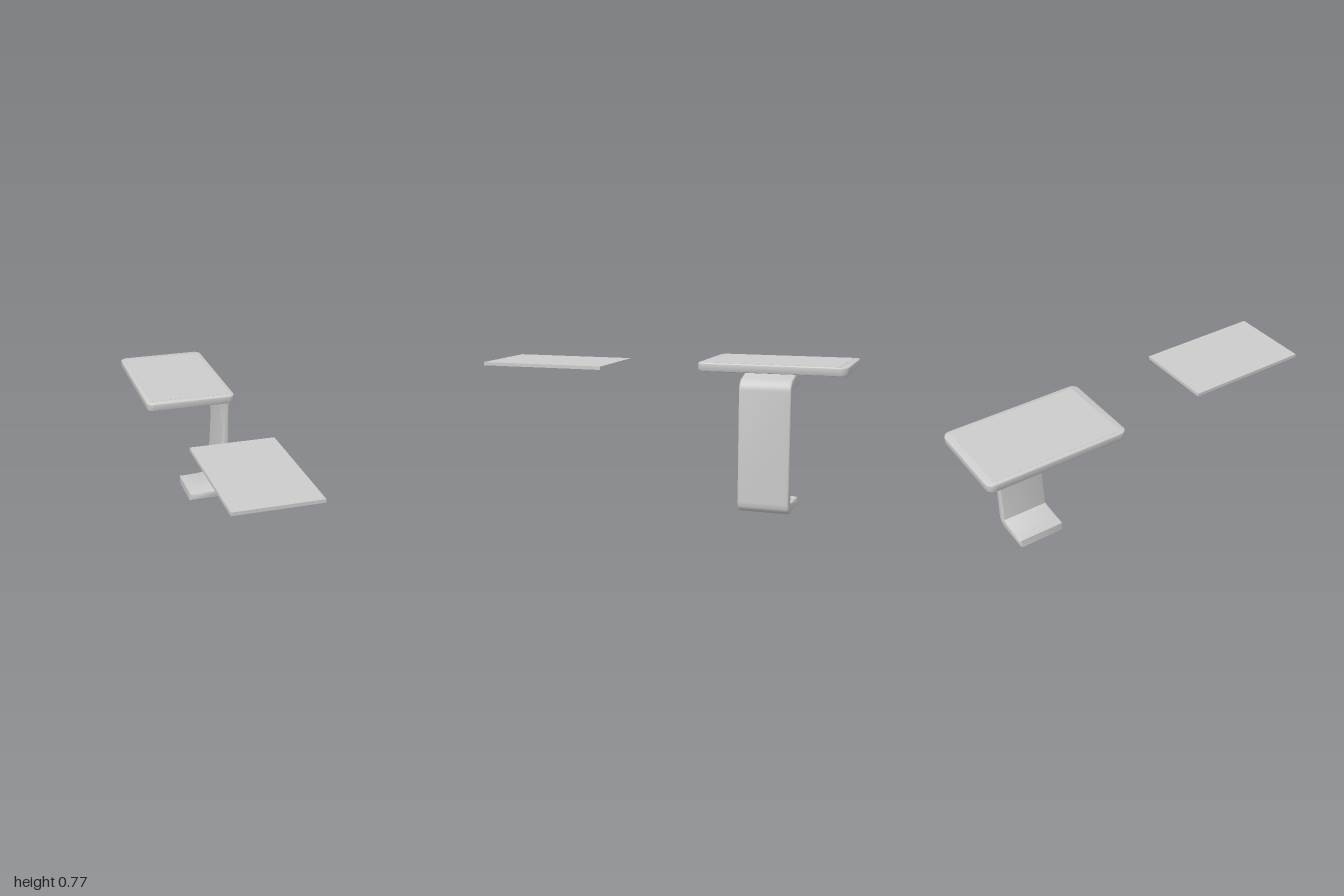
import * as THREE from 'three';
import { toCreasedNormals } from 'three/addons/utils/BufferGeometryUtils.js';

const material = new THREE.MeshStandardMaterial({ color: 0xcccccc });

function part(name, geometry, x = 0, y = 0, z = 0) {
  const mesh = new THREE.Mesh(geometry, material);
  mesh.name = name;
  mesh.position.set(x, y, z);
  return mesh;
}

// Extrude to an exact total depth, with the bevel kept inside the outline
function extrude(shape, depth, bevel) {
  const g = new THREE.ExtrudeGeometry(shape, {
    depth: depth - 2 * bevel,
    bevelThickness: bevel, bevelSize: bevel, bevelOffset: -bevel,
    bevelSegments: 4, curveSegments: 10,
  });
  g.translate(0, 0, bevel);
  return toCreasedNormals(g, 0.6);
}

function roundedRect(w, d, r) {
  const s = new THREE.Shape();
  const x = w / 2, y = d / 2;
  s.moveTo(-x + r, -y);
  s.lineTo(x - r, -y);
  s.absarc(x - r, -y + r, r, -Math.PI / 2, 0);
  s.lineTo(x, y - r);
  s.absarc(x - r, y - r, r, 0, Math.PI / 2);
  s.lineTo(-x + r, y);
  s.absarc(-x + r, y - r, r, Math.PI / 2, Math.PI);
  s.lineTo(-x, -y + r);
  s.absarc(-x + r, -y + r, r, Math.PI, Math.PI * 1.5);
  return s;
}

// C-shaped side profile: foot, upright and top arm
function legProfile() {
  const s = new THREE.Shape();
  s.moveTo(0.022, 0.002);
  s.lineTo(0.205, 0.002);
  s.quadraticCurveTo(0.267, 0.005, 0.267, 0.06);
  s.lineTo(0.267, 0.645);
  s.quadraticCurveTo(0.262, 0.695, 0.21, 0.706);
  s.lineTo(0.135, 0.725);
  s.lineTo(0.13, 0.735);
  s.lineTo(-0.008, 0.735);
  s.lineTo(-0.006, 0.712);
  s.lineTo(0.028, 0.66);
  s.quadraticCurveTo(0.14, 0.655, 0.21, 0.645);
  s.lineTo(0.228, 0.47);
  s.lineTo(0.209, 0.064);
  s.quadraticCurveTo(0.14, 0.05, 0.022, 0.05);
  return s;
}

export function createModel() {
  const model = new THREE.Group();
  model.name = 'sideTable';

  // Support leg
  const leg = extrude(legProfile(), 0.27, 0.01);
  leg.translate(0, -leg.boundingBox?.min.y || 0, 0);
  model.add(part('leg', leg, 0, 0, -0.727));

  // Tabletop with softened edges
  const top = extrude(roundedRect(0.506, 0.78, 0.04), 0.044, 0.006);
  top.rotateX(-Math.PI / 2);
  model.add(part('tabletop', top, -0.024, 0.73, -0.61));

  // Thin inset surface on the tabletop
  model.add(part('topInlay', new THREE.BoxGeometry(0.46, 0.002, 0.705), -0.024, 0.774, -0.61));

  // Separate flat panel
  model.add(part('flatPanel', new THREE.BoxGeometry(0.455, 0.018, 0.7), 0.047, 0.73, 0.65));

  return model;
}
